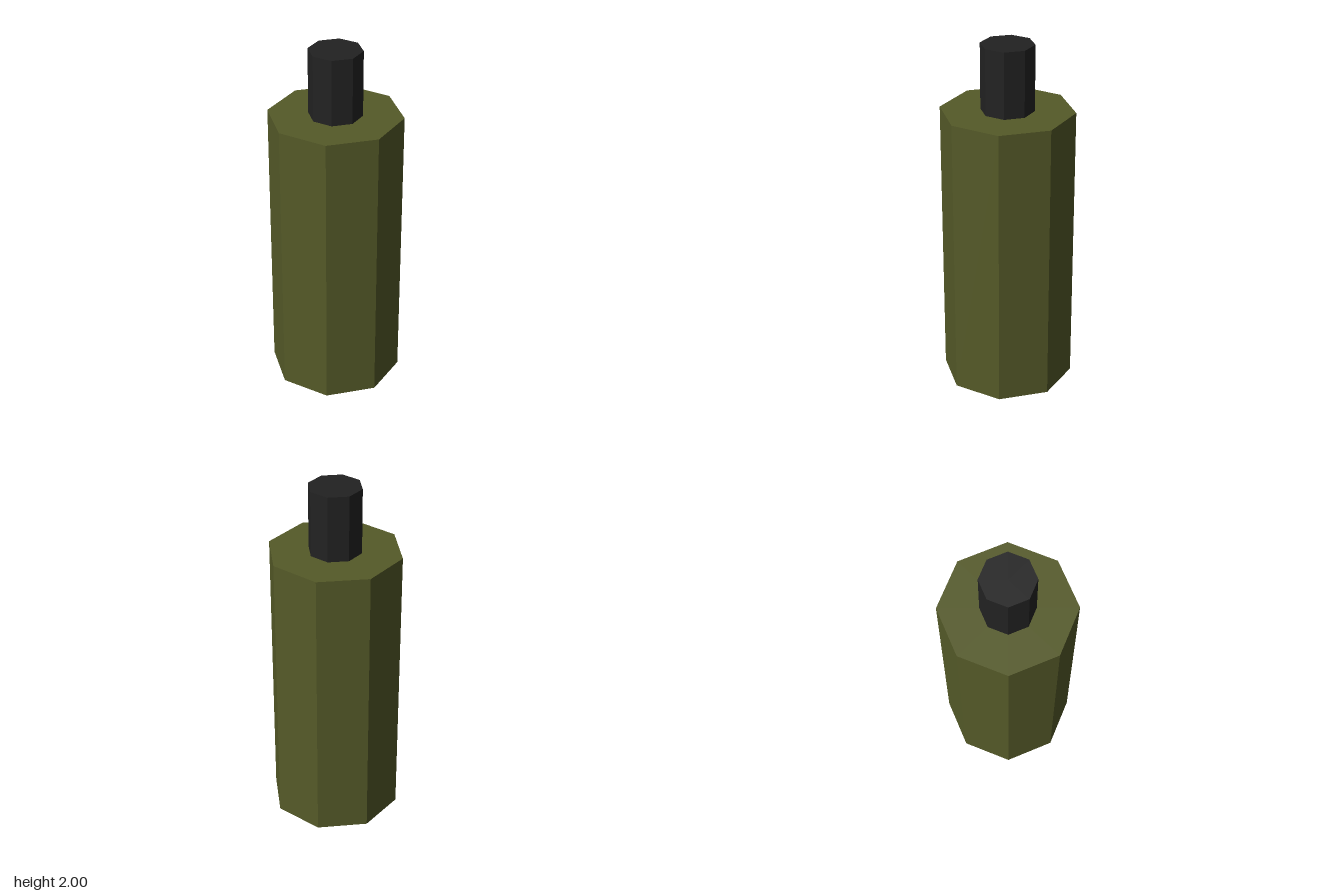
import * as THREE from 'three';

// Eight-sided faceted prism standing on y = bottom
function prism(name, radius, bottom, top, color) {
  const geometry = new THREE.CylinderGeometry(radius, radius, top - bottom, 8);
  const material = new THREE.MeshStandardMaterial({ color, flatShading: true });
  const mesh = new THREE.Mesh(geometry, material);
  mesh.name = name;
  mesh.position.y = (bottom + top) / 2;
  return mesh;
}

export function createModel() {
  const model = new THREE.Group();
  model.name = 'canister';
  // Main body
  model.add(prism('body', 0.373, 0, 1.625, 0x555a28));
  // Narrow cap on top
  model.add(prism('cap', 0.149, 1.625, 2, 0x222222));
  return model;
}
